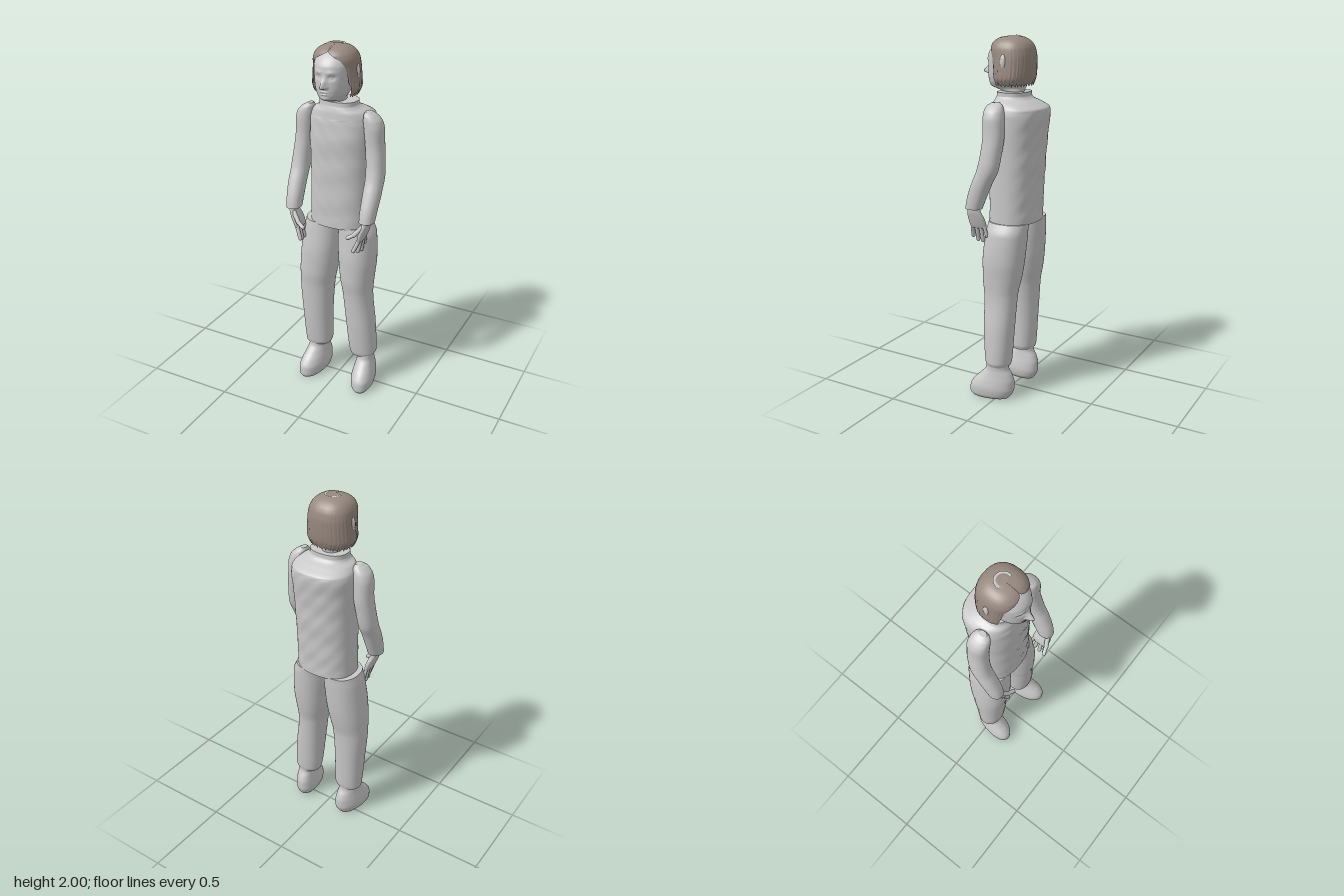
import * as THREE from 'three';

const skin = new THREE.MeshStandardMaterial({ color: 0xc8c8c8 });
skin.name = 'pale grey';
const hairMat = new THREE.MeshStandardMaterial({ color: 0x988980, side: THREE.DoubleSide });
hairMat.name = 'ash brown';

// Value of one column of the section rows at height y, smooth and without overshoot
function sample(rows, k, i, t) {
  const slope = (j) => (rows[j + 1][k] - rows[j][k]) / (rows[j + 1][0] - rows[j][0]);
  const tangent = (j) => {
    if (j === 0) return slope(0);
    if (j === rows.length - 1) return slope(j - 1);
    const a = slope(j - 1), b = slope(j);
    return a * b <= 0 ? 0 : (2 * a * b) / (a + b);
  };
  const h = rows[i + 1][0] - rows[i][0], t2 = t * t, t3 = t2 * t;
  return (2 * t3 - 3 * t2 + 1) * rows[i][k] + (t3 - 2 * t2 + t) * h * tangent(i)
    + (3 * t2 - 2 * t3) * rows[i + 1][k] + (t3 - t2) * h * tangent(i + 1);
}

// Stacked oval sections, upwards: [y, xMin, xMax, zFront, zBack, frontGapInRadians?]
function loft(rows, { seg = 40, sub = 5, n = 2.2, warp = null, open = false } = {}) {
  const pos = [], index = [], rings = [];
  const spow = (v) => Math.sign(v) * Math.pow(Math.abs(v), 2 / n);
  const count = open ? seg + 1 : seg;
  const addRing = (y, x0, x1, zf, zb, gap) => {
    const ring = [];
    for (let j = 0; j < count; j++) {
      const a = gap + (j / seg) * (2 * Math.PI - 2 * gap);
      const p = new THREE.Vector3((x0 + x1) / 2 + ((x1 - x0) / 2) * spow(Math.sin(a)), y,
        (zf + zb) / 2 + ((zf - zb) / 2) * spow(Math.cos(a)));
      if (warp) warp(p, a);
      ring.push(p);
    }
    rings.push(ring);
  };
  for (let i = 0; i < rows.length - 1; i++) {
    for (let s = 0; s < sub + (i === rows.length - 2 ? 1 : 0); s++) {
      const t = s / sub;
      const v = [1, 2, 3, 4].map((k) => sample(rows, k, i, t));
      addRing(THREE.MathUtils.lerp(rows[i][0], rows[i + 1][0], t), ...v, open ? sample(rows, 5, i, t) : 0);
    }
  }
  rings.forEach((r) => r.forEach((p) => pos.push(p.x, p.y, p.z)));
  for (let i = 0; i < rings.length - 1; i++) {
    for (let j = 0; j < seg; j++) {
      const k = (j + 1) % count;
      const a = i * count + j, b = i * count + k, c = b + count, d = a + count;
      index.push(a, b, c, a, c, d);
    }
  }
  // end caps with their own corners, so the rim stays sharp
  const cap = (ring, up) => {
    const base = pos.length / 3;
    const mid = ring.reduce((m, p) => m.add(p), new THREE.Vector3()).divideScalar(ring.length);
    [mid, ...ring].forEach((p) => pos.push(p.x, p.y, p.z));
    for (let j = 0; j < ring.length; j++) {
      const a = base + 1 + j, b = base + 1 + ((j + 1) % ring.length);
      index.push(base, up ? a : b, up ? b : a);
    }
  };
  if (!open) cap(rings[0], false);
  cap(rings[rings.length - 1], true);
  const g = new THREE.BufferGeometry();
  g.setAttribute('position', new THREE.Float32BufferAttribute(pos, 3));
  g.setIndex(index);
  g.computeVertexNormals();
  return g;
}

export function createModel() {
  const model = new THREE.Group();
  const add = (name, geometry, material = skin, parent = model) => {
    const m = new THREE.Mesh(geometry, material);
    m.name = name;
    parent.add(m);
    return m;
  };
  const mirror = (rows, s) => rows.map(([y, a, b, f, k]) => (s > 0 ? [y, a, b, f, k] : [y, -b, -a, f, k]));

  // Shirt with faint cloth dents and a standing collar
  add('shirt', loft([
    [1.01, -0.168, 0.168, 0.11, -0.148], [1.15, -0.168, 0.168, 0.108, -0.152],
    [1.35, -0.17, 0.17, 0.106, -0.165], [1.5, -0.175, 0.175, 0.106, -0.176],
    [1.59, -0.176, 0.176, 0.1, -0.189], [1.625, -0.17, 0.17, 0.094, -0.186],
    [1.655, -0.148, 0.148, 0.09, -0.14], [1.675, -0.115, 0.112, 0.085, -0.1],
    [1.69, -0.108, 0.1, 0.08, -0.088], [1.71, -0.108, 0.1, 0.078, -0.086],
  ], {
    seg: 72, sub: 8, n: 2.4,
    warp: (p, a) => {
      const k = p.y < 1.62 && p.y > 1.03 ? 1 : 0;
      p.z += k * Math.cos(a) * 0.003 * Math.sin(p.y * 47 + p.x * 30) * Math.sin(p.x * 38 + p.y * 9);
    },
  }));

  // Trouser legs, standing slightly apart
  const legRows = {
    leftTrouserLeg: [
      [0.195, 0.085, 0.225, 0.07, -0.06], [0.22, 0.078, 0.235, 0.077, -0.066],
      [0.4, 0.06, 0.225, 0.095, -0.075], [0.6, 0.04, 0.203, 0.105, -0.085],
      [0.7, 0.022, 0.208, 0.115, -0.105], [0.8, 0.01, 0.215, 0.115, -0.12],
      [0.95, 0.0, 0.205, 0.1, -0.132], [1.015, 0.0, 0.175, 0.092, -0.135]],
    rightTrouserLeg: [
      [0.195, -0.21, -0.06, 0.07, -0.06], [0.22, -0.212, -0.052, 0.077, -0.066],
      [0.4, -0.222, -0.05, 0.095, -0.075], [0.6, -0.235, -0.038, 0.105, -0.085],
      [0.7, -0.235, -0.022, 0.115, -0.105], [0.8, -0.23, -0.008, 0.115, -0.12],
      [0.95, -0.215, 0.0, 0.1, -0.132], [1.015, -0.2, 0.0, 0.092, -0.135]],
  };
  for (const [name, rows] of Object.entries(legRows)) add(name, loft(rows));

  for (const s of [1, -1]) {
    const side = s > 0 ? 'left' : 'right';

    // Soft boots with the toes turned outwards
    const cx = s > 0 ? 0.178 : -0.142;
    add(side + 'Boot', loft([
      [0, -0.05, 0.05, 0.155, -0.06], [0.02, -0.063, 0.063, 0.165, -0.075],
      [0.06, -0.068, 0.068, 0.163, -0.09], [0.1, -0.062, 0.062, 0.14, -0.09],
      [0.14, -0.053, 0.053, 0.1, -0.078], [0.18, -0.047, 0.047, 0.068, -0.058],
      [0.25, -0.05, 0.05, 0.06, -0.055],
    ].map(([y, a, b, f, k]) => [y, a + cx, b + cx, f, k]), {
      warp: (p) => { p.x += s * 0.14 * (p.z - 0.04); },
    }));

    // Arm: rounded shoulder, bent elbow, sleeve ending at the wrist
    add(side + 'Arm', loft(mirror([
      [1.1, 0.18, 0.262, 0.165, 0.072], [1.15, 0.178, 0.266, 0.155, 0.05],
      [1.25, 0.176, 0.272, 0.118, 0.005], [1.32, 0.174, 0.272, 0.088, -0.03],
      [1.4, 0.168, 0.266, 0.07, -0.045], [1.5, 0.157, 0.256, 0.06, -0.056],
      [1.58, 0.15, 0.253, 0.062, -0.054], [1.62, 0.146, 0.242, 0.06, -0.048],
      [1.65, 0.148, 0.215, 0.053, -0.036], [1.668, 0.155, 0.185, 0.03, -0.015],
    ], s), { seg: 32 }));

    // Hand: palm, four fingers and a thumb
    const hand = new THREE.Group();
    hand.name = side + 'Hand';
    model.add(hand);
    add('palm', loft(mirror([
      [0.985, 0.175, 0.2, 0.158, 0.068], [1.0, 0.175, 0.208, 0.162, 0.06],
      [1.045, 0.185, 0.226, 0.165, 0.065], [1.085, 0.2, 0.238, 0.16, 0.08],
      [1.13, 0.203, 0.243, 0.15, 0.085],
    ], s), { seg: 24 }), skin, hand);
    const digit = (name, from, to, r) => {
      const a = new THREE.Vector3(s * from[0], from[1], from[2]);
      const b = new THREE.Vector3(s * to[0], to[1], to[2]);
      const d = b.clone().sub(a);
      const m = add(name, new THREE.CapsuleGeometry(r, d.length(), 5, 10), skin, hand);
      m.position.copy(a).addScaledVector(d, 0.5);
      m.quaternion.setFromUnitVectors(new THREE.Vector3(0, 1, 0), d.normalize());
    };
    digit('indexFinger', [0.192, 1.0, 0.146], [0.163, 0.93, 0.16], 0.011);
    digit('middleFinger', [0.192, 1.0, 0.121], [0.172, 0.915, 0.123], 0.011);
    digit('ringFinger', [0.192, 1.0, 0.096], [0.178, 0.915, 0.09], 0.011);
    digit('littleFinger', [0.192, 1.0, 0.073], [0.184, 0.945, 0.062], 0.01);
    digit('thumbBase', [0.207, 1.075, 0.145], [0.17, 1.03, 0.165], 0.013);
    digit('thumbTip', [0.17, 1.03, 0.165], [0.137, 1.01, 0.175], 0.011);
  }

  // Head with the features raised from the face
  const hx = -0.014;
  const features = [ // x, y, width, reach above, reach below, depth
    [0, 1.807, 0.013, 0.03, 0.009, 0.042], [0.014, 1.803, 0.008, 0.009, 0.007, 0.012],
    [0.038, 1.853, 0.017, 0.009, 0.011, -0.013], [0.038, 1.852, 0.009, 0.005, 0.005, 0.009],
    [0.036, 1.878, 0.025, 0.01, 0.008, 0.005], [0, 1.778, 0.02, 0.004, 0.004, 0.009],
    [0, 1.766, 0.017, 0.004, 0.004, 0.008], [0, 1.772, 0.022, 0.002, 0.002, -0.006],
    [0, 1.742, 0.02, 0.01, 0.008, 0.006],
  ];
  const head = new THREE.Group();
  head.name = 'head';
  model.add(head);
  add('face', loft([
    [1.66, -0.05, 0.05, 0.05, -0.055], [1.705, -0.05, 0.05, 0.06, -0.055],
    [1.722, -0.053, 0.053, 0.105, -0.058], [1.735, -0.062, 0.062, 0.138, -0.062],
    [1.76, -0.078, 0.078, 0.147, -0.072], [1.8, -0.091, 0.091, 0.15, -0.085],
    [1.85, -0.097, 0.097, 0.15, -0.095], [1.9, -0.099, 0.099, 0.146, -0.095],
    [1.93, -0.095, 0.095, 0.13, -0.09], [1.96, -0.08, 0.08, 0.098, -0.075],
    [1.98, -0.05, 0.05, 0.06, -0.045], [1.988, -0.02, 0.02, 0.03, -0.02],
  ], {
    seg: 128, sub: 9, n: 2.15,
    warp: (p) => {
      if (p.z > 0.05) {
        let dz = 0;
        for (const [x, y, w, up, down, depth] of features) {
          const v = (p.y - y) / (p.y > y ? up : down), u = (Math.abs(p.x) - x) / w;
          dz += depth * Math.exp(-u * u - v * v);
        }
        p.z += dz;
      }
      p.x += hx;
    },
  }), skin, head);

  // Bobbed hair, open round the face, with ragged strands
  add('hair', loft([
    [1.745, -0.112, 0.112, 0.098, -0.09, 1.05], [1.785, -0.129, 0.129, 0.106, -0.104, 0.98],
    [1.83, -0.126, 0.126, 0.108, -0.109, 0.88], [1.89, -0.121, 0.121, 0.114, -0.111, 0.8],
    [1.93, -0.116, 0.116, 0.122, -0.105, 0.62], [1.955, -0.106, 0.106, 0.117, -0.094, 0.25],
    [1.975, -0.089, 0.089, 0.1, -0.075, 0.01], [1.99, -0.062, 0.062, 0.07, -0.048, 0.005],
    [1.997, -0.025, 0.025, 0.03, -0.015, 0.003],
  ], {
    seg: 144, sub: 6, n: 2.35, open: true,
    warp: (p, a) => {
      const fall = THREE.MathUtils.clamp((1.96 - p.y) / 0.2, 0, 1);
      const strand = Math.sin(a * 34) * 0.6 + Math.sin(a * 53 + 1) * 0.4;
      const k = 1 + 0.018 * strand * fall;
      p.x = p.x * k + hx;
      p.z *= k;
      p.y += 0.009 * strand * fall * fall;
    },
  }), hairMat, head);

  // Ears and bare scalp showing through the hair
  for (const s of [1, -1]) {
    const ear = add(s > 0 ? 'leftEar' : 'rightEar', new THREE.SphereGeometry(1, 20, 14), skin, head);
    ear.scale.set(0.013, 0.04, 0.017);
    ear.position.set(hx + s * 0.117, 1.868, 0.004);
  }
  const scalp = add('scalpPatch', new THREE.RingGeometry(0.034, 0.046, 32, 1, -0.3, 3.6), skin, head);
  scalp.rotation.x = -Math.PI / 2;
  scalp.position.set(hx, 1.999, 0.01);

  return model;
}
